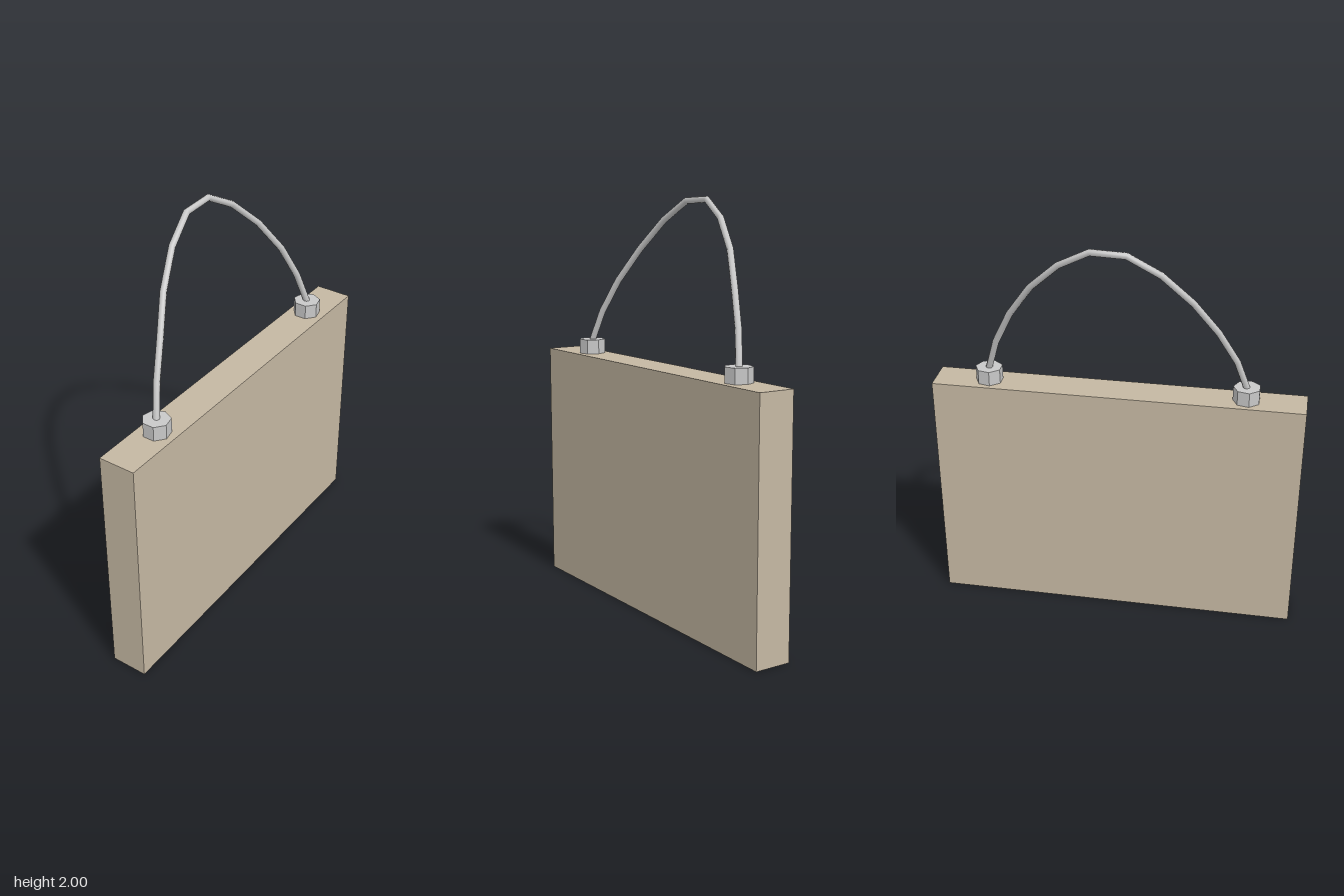
import * as THREE from 'three';

const panelPaint = new THREE.MeshStandardMaterial({ color: 0xc4b7a2 });
panelPaint.name = 'beige panel';
const metal = new THREE.MeshStandardMaterial({ color: 0xc8c8c8 });
metal.name = 'light grey metal';
const metalFlat = metal;

export function createModel() {
  const model = new THREE.Group();
  const add = (geometry, material, name, x = 0, y = 0, z = 0) => {
    const mesh = new THREE.Mesh(geometry, material);
    mesh.name = name;
    mesh.position.set(x, y, z);
    model.add(mesh);
    return mesh;
  };

  // Flat slab body
  add(new THREE.BoxGeometry(0.18, 1.205, 1.79), panelPaint, 'panel', 0.07, 0.6025, 0);

  // Seven-sided sockets on the top edge, a corner pointing to the back
  const socket = new THREE.CylinderGeometry(0.066, 0.066, 0.075, 7, 1, false, Math.PI).toNonIndexed();
  socket.computeVertexNormals();
  add(socket, metalFlat, 'frontSocket', 0.067, 1.239, 0.612);
  add(socket, metalFlat, 'backSocket', 0.067, 1.239, -0.63);

  // Thin handle arching over the panel and leaning to one side
  const path = new THREE.CatmullRomCurve3([
    [0.067, 1.265, 0.612], [0.035, 1.42, 0.56], [-0.007, 1.58, 0.472], [-0.068, 1.742, 0.36],
    [-0.119, 1.885, 0.223], [-0.149, 1.978, 0.073], [-0.15, 1.984, -0.09], [-0.121, 1.903, -0.236],
    [-0.07, 1.766, -0.379], [-0.009, 1.6, -0.495], [0.033, 1.43, -0.58], [0.067, 1.265, -0.632],
  ].map((p) => new THREE.Vector3(...p)));
  // Place one ring on each path point
  path.getPointAt = path.getPoint;
  path.getTangentAt = path.getTangent;
  add(new THREE.TubeGeometry(path, 11, 0.016, 8), metal, 'handle');

  return model;
}
